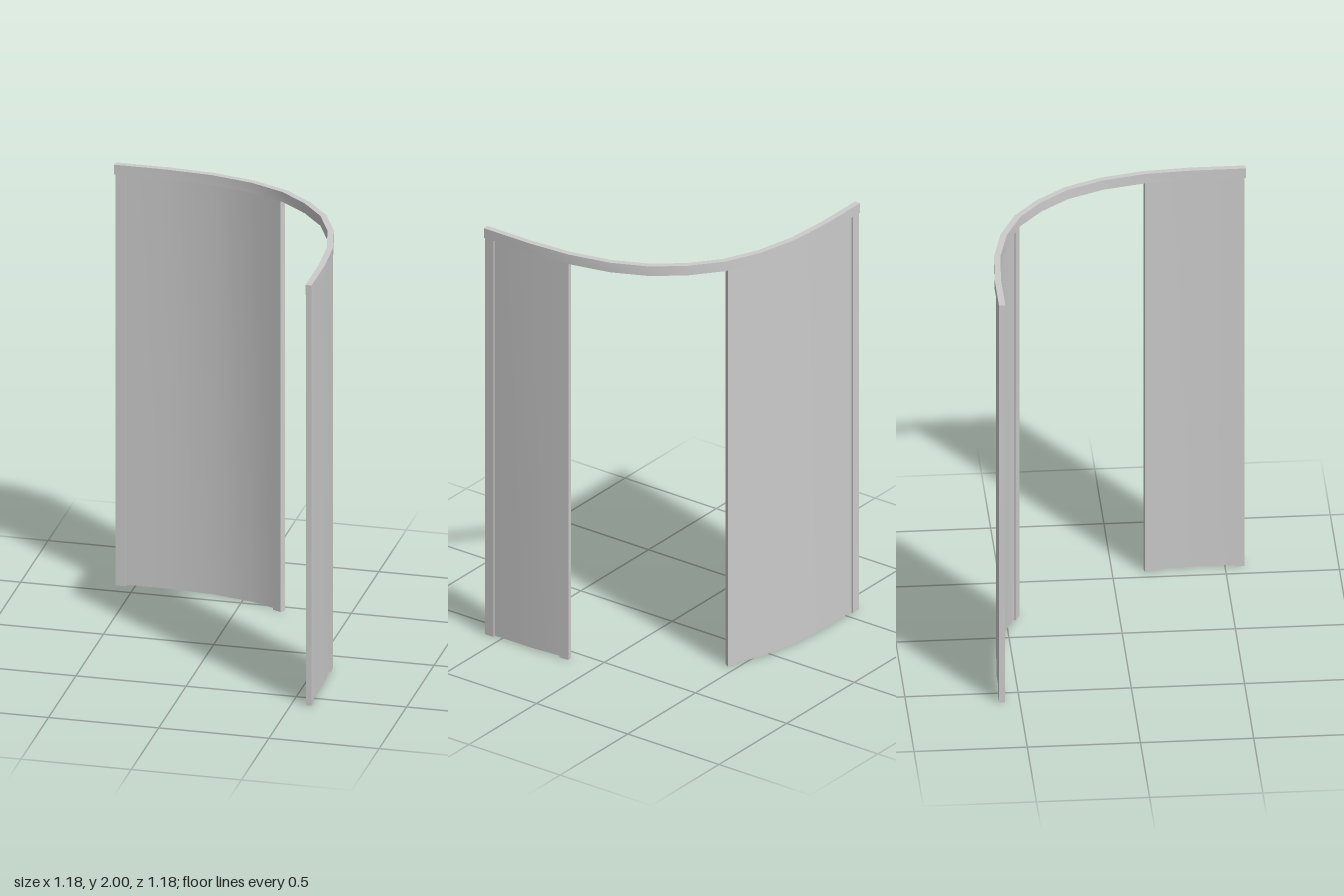
import * as THREE from 'three';
import { toCreasedNormals } from 'three/addons/utils/BufferGeometryUtils.js';

const RAIL_BOTTOM = 1.953, DEPTH = 0.028, POST = 0.046;

// Outer plan line (x, z): half of the quarter bend, mirrored across the diagonal
const half = [[-0.592, -0.592], [-0.35, -0.592], [-0.14, -0.577], [0.055, -0.532], [0.22, -0.457]];
const path = [...half, [0.35, -0.35], ...half.map(([x, z]) => [-z, -x]).reverse()]
  .map(([x, z]) => new THREE.Vector2(x, z));

// Outward mitred normal at each path point, and length along the path
const edgeNormal = i => {
  const d = path[i + 1].clone().sub(path[i]).normalize();
  return new THREE.Vector2(d.y, -d.x);
};
const last = path.length - 1;
const normals = path.map((_, i) => {
  const a = edgeNormal(Math.max(i - 1, 0)), b = edgeNormal(Math.min(i, last - 1));
  const n = a.clone().add(b).normalize();
  return n.divideScalar(n.dot(a));
});
const lengths = [0];
for (let i = 1; i <= last; i++) lengths.push(lengths[i - 1] + path[i].distanceTo(path[i - 1]));
const total = lengths[last];

// Plan point at length s, set in from the outer line
function planPoint(s, inset) {
  let i = 0;
  while (i < last - 1 && lengths[i + 1] < s) i++;
  const t = (s - lengths[i]) / (lengths[i + 1] - lengths[i]);
  const p = path[i].clone().lerp(path[i + 1], t);
  const n = normals[i].clone().lerp(normals[i + 1], t);
  return p.addScaledVector(n, -inset);
}

const material = new THREE.MeshStandardMaterial({ color: 0xcccccc });

// Upright band that follows the path from s0 to s1
function band(name, s0, s1, inset0, inset1, y0, y1) {
  const stops = [s0, ...lengths.filter(s => s > s0 + 1e-4 && s < s1 - 1e-4), s1];
  const outline = [
    ...stops.map(s => planPoint(s, inset0)),
    ...stops.slice().reverse().map(s => planPoint(s, inset1)),
  ].map(p => new THREE.Vector2(p.x, -p.y));
  const geometry = new THREE.ExtrudeGeometry(new THREE.Shape(outline), { depth: y1 - y0, bevelEnabled: false });
  geometry.rotateX(-Math.PI / 2).translate(0, y0, 0);
  const mesh = new THREE.Mesh(toCreasedNormals(geometry, 0.6), material);
  mesh.name = name;
  return mesh;
}

// Thin pane held between two posts
function panel(name, s0, s1) {
  const group = new THREE.Group();
  group.name = name;
  group.add(
    band('startPost', s0, s0 + POST, 0.001, DEPTH - 0.001, 0, RAIL_BOTTOM),
    band('endPost', s1 - POST, s1, 0.001, DEPTH - 0.001, 0, RAIL_BOTTOM),
    band('pane', s0 + POST, s1 - POST, 0.009, 0.018, 0.004, RAIL_BOTTOM),
  );
  return group;
}

export function createModel() {
  const model = new THREE.Group();
  model.name = 'curvedScreen';
  model.add(
    band('topRail', 0, total, 0, DEPTH, RAIL_BOTTOM, 2),
    panel('backPanel', 0.006, 0.822),
    panel('sidePanel', total - 0.452, total - 0.006),
  );
  return model;
}
